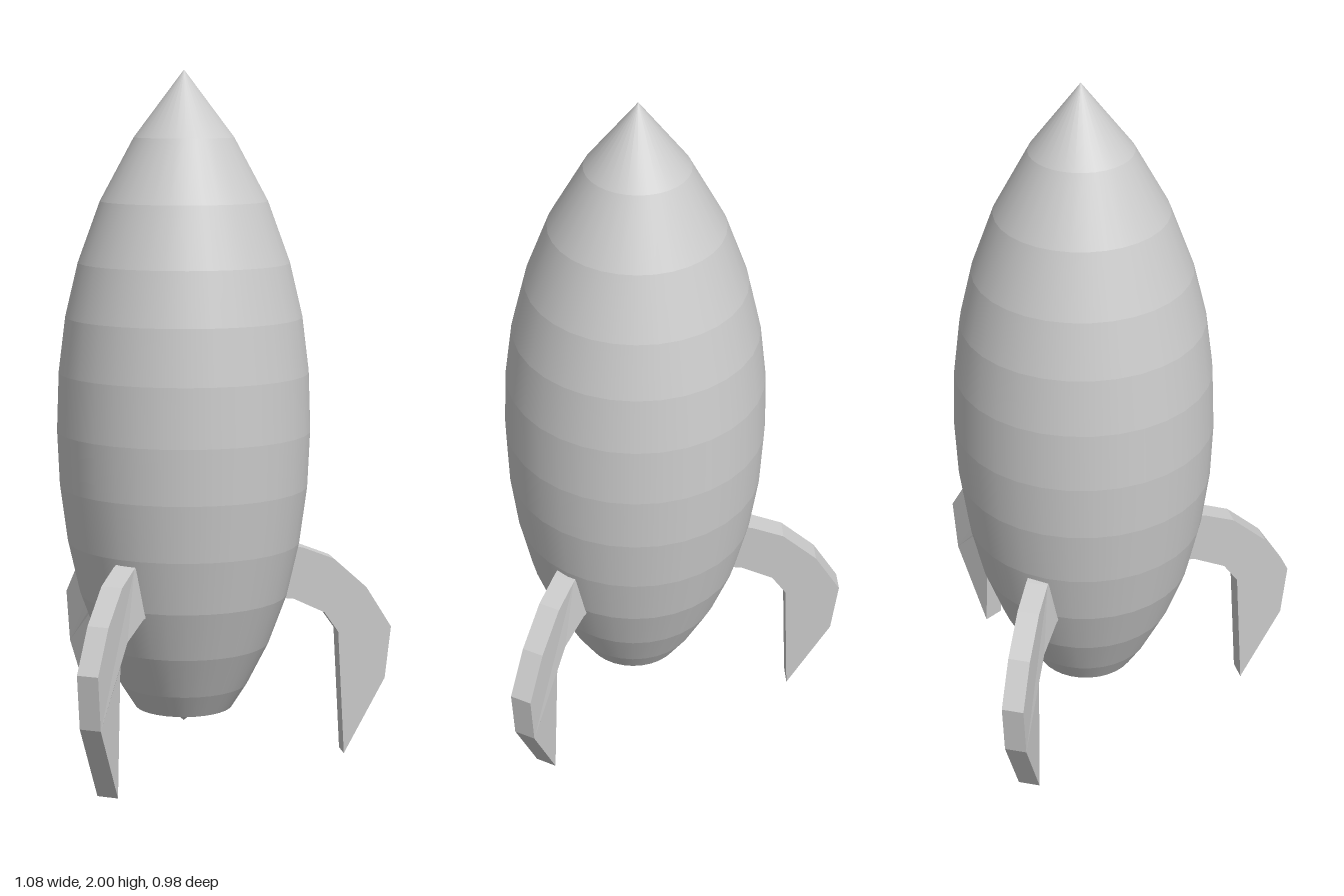
import * as THREE from 'three';

const grey = new THREE.MeshStandardMaterial({ color: 0xcccccc });
const SIDES = 32;

function add(parent, name, geometry) {
  const mesh = new THREE.Mesh(geometry, grey);
  mesh.name = name;
  parent.add(mesh);
  return mesh;
}

// Open frustum between two [radius, y] rings
function band(parent, name, [r0, y0], [r1, y1]) {
  const g = new THREE.CylinderGeometry(r1, r0, y1 - y0, SIDES, 1, true);
  add(parent, name, g).position.y = (y0 + y1) / 2;
}

// Curved landing leg reaching out along +z, slightly beside the axis
function legGeometry() {
  const outline = [
    [0.25, 0.645], [0.34, 0.625], [0.43, 0.59], [0.53, 0.5], [0.605, 0.38], [0.588, 0.225],
    [0.467, 0], [0.446, 0.37], [0.404, 0.43], [0.31, 0.475], [0.24, 0.48],
  ];
  const shape = new THREE.Shape(outline.map(([r, y]) => new THREE.Vector2(r, y)));
  const g = new THREE.ExtrudeGeometry(shape, { depth: 0.062, bevelEnabled: false });
  g.rotateY(-Math.PI / 2);
  g.translate(-0.019, 0, 0);
  // The lower root flares out on one side where it meets the hull
  const p = g.attributes.position;
  for (let i = 0; i < p.count; i++) {
    if (p.getX(i) > -0.05 && p.getY(i) < 0.5 && p.getZ(i) < 0.44) {
      p.setX(i, p.getX(i) + 0.12 * (0.44 - p.getZ(i)));
    }
  }
  g.computeVertexNormals();
  return g;
}

export function createModel() {
  const rocket = new THREE.Group();
  rocket.name = 'rocket';
  rocket.position.set(-0.026, 0, -0.118);

  // Hull: stacked bands, round across and faceted along the height
  const hull = new THREE.Group();
  hull.name = 'hull';
  rocket.add(hull);
  const profile = [
    [0.143, 0.15], [0.187, 0.22], [0.25, 0.345], [0.303, 0.49], [0.338, 0.645], [0.36, 0.81],
    [0.367, 0.97], [0.361, 1.14], [0.341, 1.3], [0.304, 1.455], [0.24, 1.63], [0.143, 1.81],
  ];
  for (let i = 0; i < profile.length - 1; i++) {
    band(hull, 'hullBand' + (i + 1), profile[i], profile[i + 1]);
  }
  band(hull, 'noseCone', profile[profile.length - 1], [0, 2]);

  // Recessed base with a downward cone; the inner wall faces the axis
  const base = new THREE.LatheGeometry(
    [new THREE.Vector2(0.139, 0.225), new THREE.Vector2(0.143, 0.15)], SIDES);
  add(rocket, 'baseRecess', base);
  band(rocket, 'exhaustCone', [0, 0.1], [0.139, 0.225]);

  // Three legs around the hull
  const leg = legGeometry();
  ['frontLeg', 'backLeftLeg', 'backRightLeg'].forEach((name, i) => {
    add(rocket, name, leg).rotation.y = (i * Math.PI * 2) / 3;
  });

  const model = new THREE.Group();
  model.name = 'model';
  model.add(rocket);
  return model;
}
